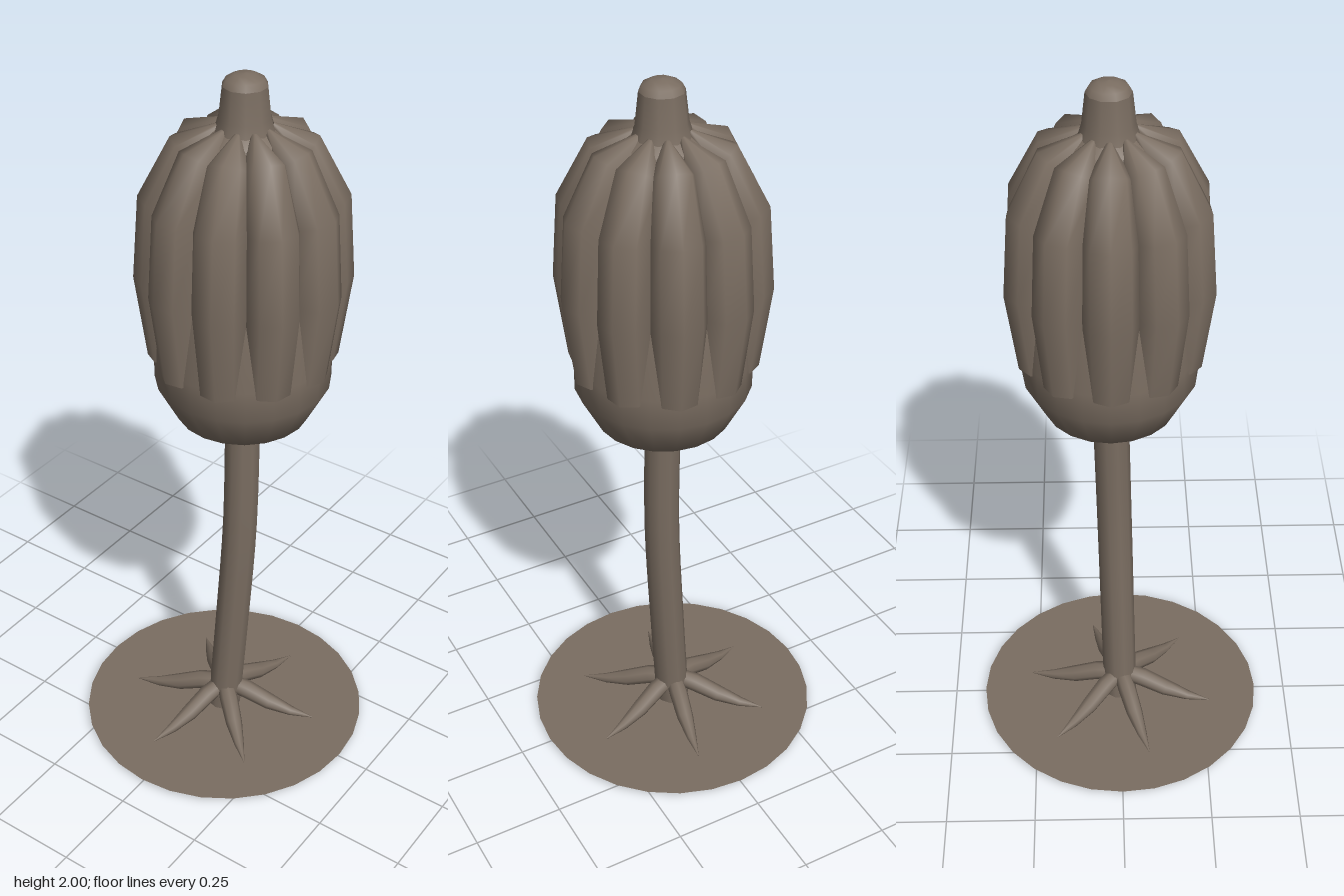
import * as THREE from 'three';

// Tapered tube along a path in the XY plane; stations are [x, y, radius]
function taperedTube(stations, sides) {
  const n = stations.length;
  const rings = stations.map(([x, y, r], i) => {
    const a = stations[Math.max(i - 1, 0)], b = stations[Math.min(i + 1, n - 1)];
    const t = new THREE.Vector2(b[0] - a[0], b[1] - a[1]).normalize();
    return { x, y, r, nx: t.y, ny: -t.x };
  });
  // flat start cap with its own hard edge
  rings.unshift({ ...rings[0], r: 0 }, { ...rings[0] });
  const pos = [], idx = [];
  rings.forEach(({ x, y, r, nx, ny }, i) => {
    for (let j = 0; j < sides; j++) {
      const a = (j / sides) * Math.PI * 2, c = Math.cos(a) * r;
      pos.push(x + nx * c, y + ny * c, Math.sin(a) * r);
      if (i === rings.length - 1 || i === 1) continue;
      const k = (j + 1) % sides, p = i * sides, q = p + sides;
      idx.push(p + j, q + j, p + k, p + k, q + j, q + k);
    }
  });
  const g = new THREE.BufferGeometry();
  g.setAttribute('position', new THREE.Float32BufferAttribute(pos, 3));
  g.setIndex(idx);
  g.computeVertexNormals();
  return g;
}

const lathe = (pts, sides) =>
  new THREE.LatheGeometry(pts.map(([r, y]) => new THREE.Vector2(r, y)), sides);

export function createModel() {
  const model = new THREE.Group();
  model.name = 'budPlant';
  const brown = new THREE.MeshStandardMaterial({ color: 0x7a6d61, side: THREE.DoubleSide });
  brown.name = 'earthBrown';

  const add = (parent, name, geometry) => {
    const mesh = new THREE.Mesh(geometry, brown);
    mesh.name = name;
    parent.add(mesh);
    return mesh;
  };

  // Ground disc
  const disc = add(model, 'groundDisc', new THREE.CircleGeometry(0.41, 28));
  disc.rotation.x = -Math.PI / 2;
  disc.position.y = 0.006;

  // Gently bent stem
  const stemPath = new THREE.CatmullRomCurve3([
    [0, 0, 0], [0.023, 0.34, -0.008], [0.042, 0.68, -0.016], [0.043, 1.04, -0.025],
  ].map((p) => new THREE.Vector3(...p)));
  add(model, 'stem', new THREE.TubeGeometry(stemPath, 12, 0.049, 10));

  // Six tapering roots
  const rootGeometry = taperedTube([
    [0.015, 0.075, 0.024], [0.07, 0.063, 0.027], [0.14, 0.034, 0.024],
    [0.21, 0.015, 0.014], [0.278, 0.008, 0.001],
  ], 8);
  for (let i = 0; i < 6; i++) {
    add(model, 'root', rootGeometry).rotation.y = -THREE.MathUtils.degToRad(43 + i * 60);
  }

  // Bud head, centred over the stem top
  const head = new THREE.Group();
  head.name = 'budHead';
  head.position.set(0.042, 0, -0.026);
  model.add(head);

  // Rounded cup and inner core
  add(head, 'cupAndCore', lathe([
    [0, 1.0], [0.055, 1.003], [0.178, 1.06], [0.233, 1.165], [0.233, 1.25],
    [0.22, 1.5], [0.17, 1.73], [0.1, 1.845], [0.04, 1.88],
  ], 20));

  // Ten closed petals
  const petalGeometry = taperedTube([
    [0.187, 1.235, 0.062], [0.207, 1.46, 0.073], [0.195, 1.67, 0.07],
    [0.135, 1.81, 0.055], [0.065, 1.868, 0.008],
  ], 8);
  for (let i = 0; i < 10; i++) {
    add(head, 'petal', petalGeometry).rotation.y = (i * Math.PI) / 5;
  }

  // Neck and domed tip
  add(head, 'neck', lathe([[0.078, 1.85], [0.066, 1.89], [0.057, 1.97]], 10));
  add(head, 'domedTip', lathe([[0.057, 1.97], [0.048, 1.986], [0.026, 1.997], [0, 2.0]].slice(), 10));

  return model;
}
